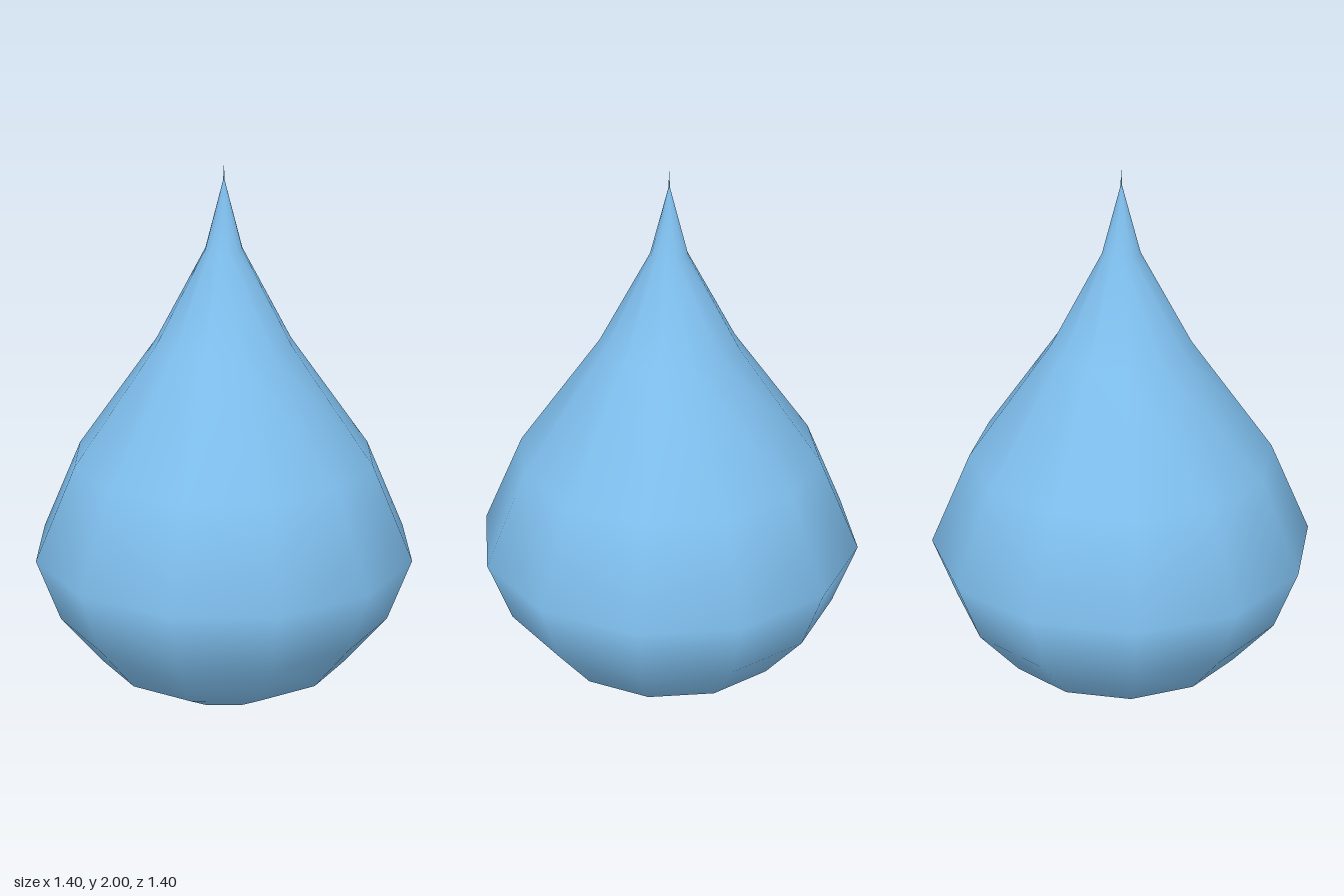
import * as THREE from 'three';

export function createModel() {
  const group = new THREE.Group();

  // Profile from the bottom, over the round belly, up to the fine tip
  const profile = [
    [0, 0], [0.245, 0.05], [0.46, 0.17], [0.615, 0.36], [0.7, 0.595],
    [0.55, 0.94], [0.25, 1.36], [0.067, 1.7], [0.003, 1.94], [0, 2],
  ].map(([r, y]) => new THREE.Vector2(r, y));

  // Twelve-sided smooth-shaded drop
  const drop = new THREE.Mesh(
    new THREE.LatheGeometry(profile, 12),
    new THREE.MeshStandardMaterial({ color: 0x7fbfee })
  );
  drop.name = 'waterDrop';
  group.add(drop);

  return group;
}
